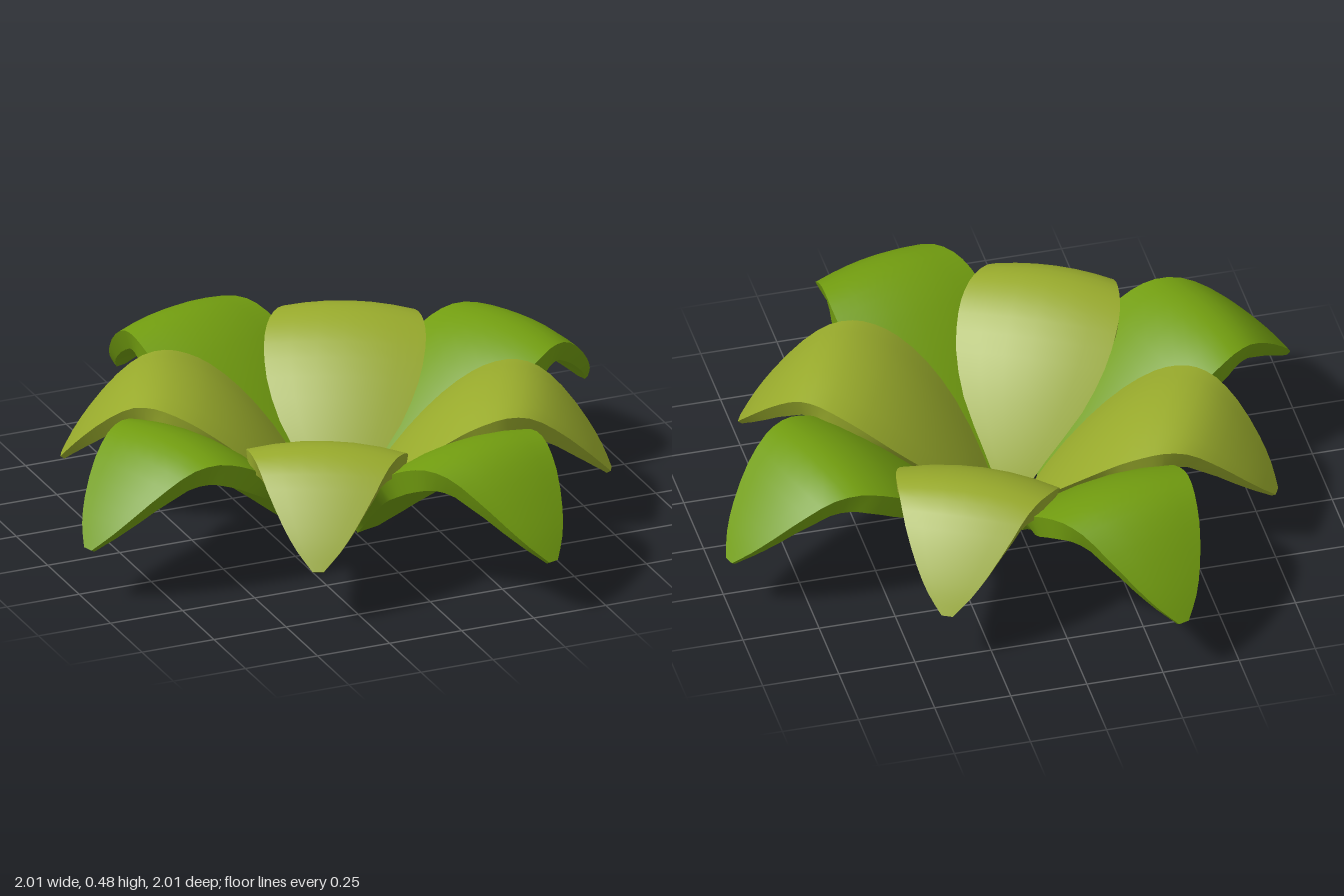
import * as THREE from 'three';
import { toCreasedNormals } from 'three/addons/utils/BufferGeometryUtils.js';

// Leaf stations from base to tip: distance out, height, half width, thickness
const STATIONS = [
  [0, 0.014, 0.045, 0.022], [0.05, 0.084, 0.098, 0.038], [0.15, 0.208, 0.193, 0.055],
  [0.25, 0.32, 0.242, 0.066], [0.35, 0.41, 0.257, 0.074], [0.43, 0.458, 0.253, 0.076],
  [0.51, 0.48, 0.236, 0.075], [0.59, 0.464, 0.21, 0.07], [0.67, 0.403, 0.174, 0.06],
  [0.75, 0.308, 0.117, 0.042], [0.795, 0.242, 0.07, 0.028], [0.827, 0.185, 0.018, 0.015],
];
const ACROSS = 6;
const STEPS = 2 * (STATIONS.length - 1);

// A thick arching blade, lofted along +x from closed cross-sections;
// bulge raises the upper face near the base
function leafGeometry(start, stretch, bulge) {
  const spine = new THREE.CatmullRomCurve3(
    STATIONS.map(([x, y, w]) => new THREE.Vector3(start + x * stretch, y, w)));
  const positions = [];
  const index = [];
  const ring = 2 * (ACROSS + 1);

  for (let i = 0; i <= STEPS; i++) {
    const p = spine.getPoint(i / STEPS);
    const d = spine.getTangent(i / STEPS);
    const len = Math.hypot(d.x, d.y);
    const nx = -d.y / len;
    const ny = d.x / len;
    const thickness = (STATIONS[Math.floor(i / 2)][3] + STATIONS[Math.ceil(i / 2)][3]) / 2;
    const along = (p.x - start) / stretch;
    const u = Math.min(along / 0.55, 1);
    const lift = bulge * 6.75 * u * (1 - u) ** 2;
    // the underside tapers straight to the base
    const underWidth = Math.min(p.z * 0.95, 0.045 + along * 0.62);
    for (let j = 0; j < ring; j++) {
      const top = j <= ACROSS;
      const k = top ? j : ring - 1 - j;
      const z = (top ? p.z : underWidth) * (2 * k / ACROSS - 1);
      // edges droop a little, the underside is offset along the normal
      const offset = -0.5 * z * z - (top ? 0 : thickness);
      positions.push(p.x + nx * offset, p.y + ny * offset + (top ? lift : 0), z);
    }
  }

  for (let i = 0; i < STEPS; i++) {
    for (let j = 0; j < ring; j++) {
      const a = i * ring + j;
      const b = i * ring + (j + 1) % ring;
      index.push(a, b, a + ring, b, b + ring, a + ring);
    }
  }

  // base and tip caps
  const last = STEPS * ring;
  for (let j = 0; j < ACROSS; j++) {
    const a = j, b = j + 1, c = ring - 2 - j, e = ring - 1 - j;
    index.push(a, c, b, a, e, c);
    index.push(last + a, last + b, last + c, last + a, last + c, last + e);
  }

  const geometry = new THREE.BufferGeometry();
  geometry.setAttribute('position', new THREE.Float32BufferAttribute(positions, 3));
  geometry.setIndex(index);
  return toCreasedNormals(geometry, 0.8);
}

export function createModel() {
  const model = new THREE.Group();
  model.name = 'leafRosette';

  // Two whorls of four leaves, turned 45 degrees from each other
  const whorls = [
    { name: 'outerLeaf', color: 0x729d10, angle: 17.7, start: 0.135, stretch: 1.106, bulge: 0.005 },
    { name: 'innerLeaf', color: 0x98aa2c, angle: 62.7, start: 0.05, stretch: 1, bulge: 0.03 },
  ];
  for (const { name, color, angle, start, stretch, bulge } of whorls) {
    const geometry = leafGeometry(start, stretch, bulge);
    const material = new THREE.MeshStandardMaterial({ color });
    for (let i = 0; i < 4; i++) {
      const leaf = new THREE.Mesh(geometry, material);
      leaf.name = name + (i + 1);
      leaf.rotation.y = THREE.MathUtils.degToRad(angle + 90 * i);
      model.add(leaf);
    }
  }
  return model;
}
